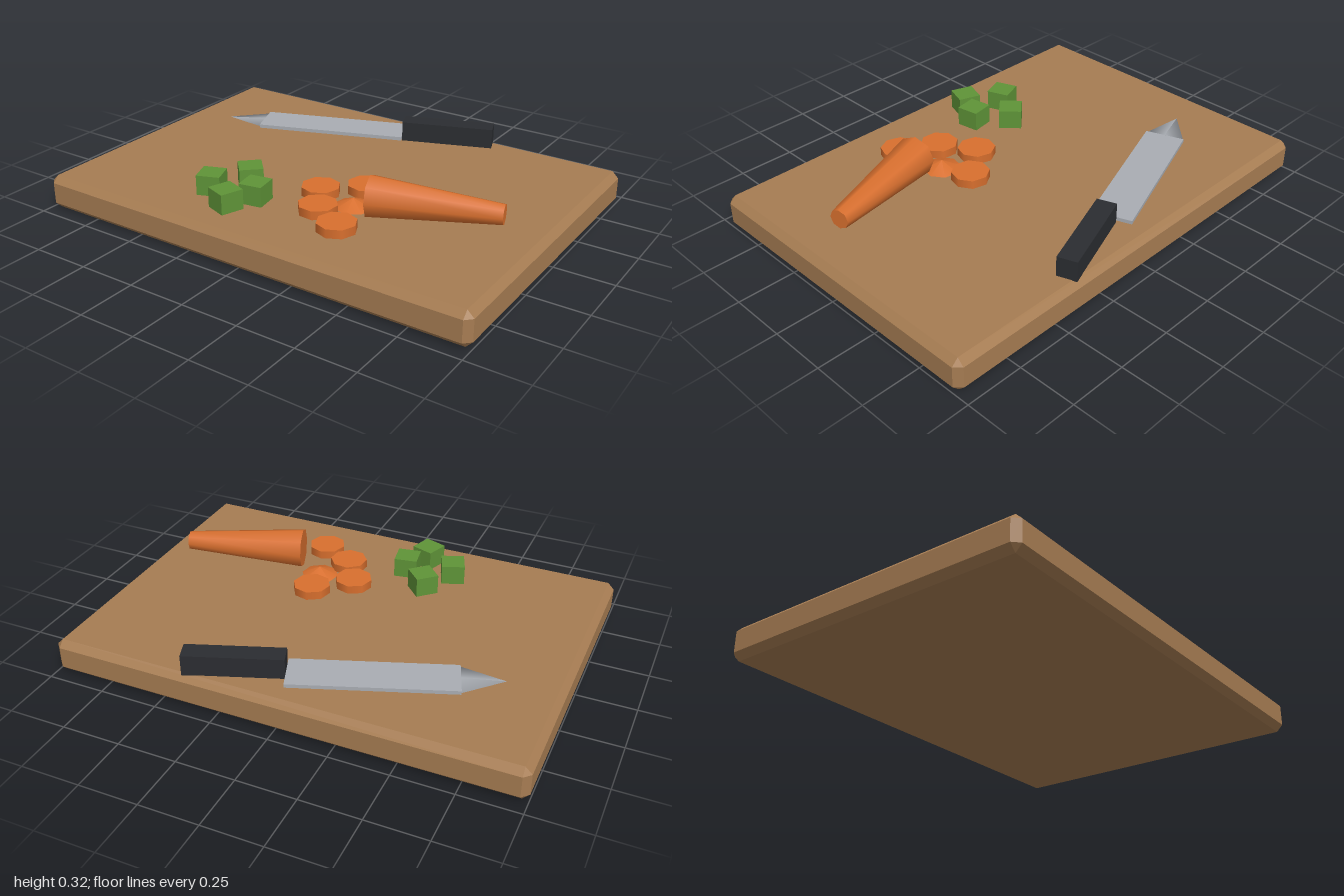
import * as THREE from 'three';
import { ConvexGeometry } from 'three/addons/geometries/ConvexGeometry.js';

const BOARD_TOP = 0.147;

const paint = (color) => new THREE.MeshStandardMaterial({ color });
const wood = paint(0xa67c52);
const orange = paint(0xd86f2e);
const green = paint(0x5f9438);
const steel = paint(0xa9adb3);
const black = paint(0x2b2d31);

function add(parent, name, geometry, material, x, y, z, turn = 0) {
  const mesh = new THREE.Mesh(geometry, material);
  mesh.name = name;
  mesh.position.set(x, y, z);
  mesh.rotation.y = turn;
  parent.add(mesh);
  return mesh;
}

// Box with every edge chamfered: hull of three boxes, each inset on two axes
function chamferedBox(w, h, d, c) {
  const points = [];
  for (const sx of [-1, 1]) for (const sy of [-1, 1]) for (const sz of [-1, 1]) {
    for (let axis = 0; axis < 3; axis++) {
      const inset = [c, c, c];
      inset[axis] = 0;
      points.push(new THREE.Vector3(
        sx * (w / 2 - inset[0]), sy * (h / 2 - inset[1]), sz * (d / 2 - inset[2])));
    }
  }
  return new ConvexGeometry(points);
}

// Knife lying flat, built along x with the point toward -x
function makeKnife() {
  const knife = new THREE.Group();
  knife.name = 'knife';
  add(knife, 'blade', new THREE.BoxGeometry(0.675, 0.016, 0.172), steel, 0, 0, 0);
  const tip = new THREE.ConeGeometry(0.086, 0.175, 4);
  tip.rotateZ(Math.PI / 2);
  tip.scale(1, 0.1, 1);
  add(knife, 'bladeTip', tip, steel, -0.425, 0, 0);
  add(knife, 'handle', new THREE.BoxGeometry(0.407, 0.09, 0.085), black, 0.542, 0.028, 0.022);
  knife.position.set(-0.295, 0.162, -0.418);
  knife.rotation.y = 0.35;
  return knife;
}

export function createModel() {
  const model = new THREE.Group();
  model.name = 'choppingBoard';

  add(model, 'board', chamferedBox(2, BOARD_TOP, 1.405, 0.028), wood, 0, BOARD_TOP / 2, 0);
  model.add(makeKnife());

  // Carrot: tapered stick, thick cut end toward the slices
  const carrot = new THREE.CylinderGeometry(0.042, 0.0875, 0.526, 8);
  carrot.rotateZ(-Math.PI / 2);
  add(model, 'carrot', carrot, orange, 0.59, 0.236, 0.202, 0.272);

  // Carrot slices: x, z, turn
  const slice = new THREE.CylinderGeometry(0.082, 0.082, 0.037, 8);
  [[0.206, 0.083, 0.15], [0.059, 0.203, 0.1], [0.145, 0.348, 0.3], [0.294, 0.438, 0.05]]
    .forEach(([x, z, turn]) => add(model, 'carrotSlice', slice, orange, x, BOARD_TOP + 0.0185, z, turn));
  add(model, 'carrotEnd', new THREE.ConeGeometry(0.082, 0.037, 8), orange, 0.235, BOARD_TOP + 0.0185, 0.23, 0.2);

  // Diced greens: x, z, turn
  const cube = new THREE.BoxGeometry(0.1, 0.086, 0.1);
  [[-0.235, 0.289, 0.75], [-0.323, 0.433, 0.36], [-0.118, 0.406, 0.16], [-0.176, 0.524, -0.34]]
    .forEach(([x, z, turn]) => add(model, 'greenCube', cube, green, x, BOARD_TOP + 0.043, z, turn));

  return model;
}
